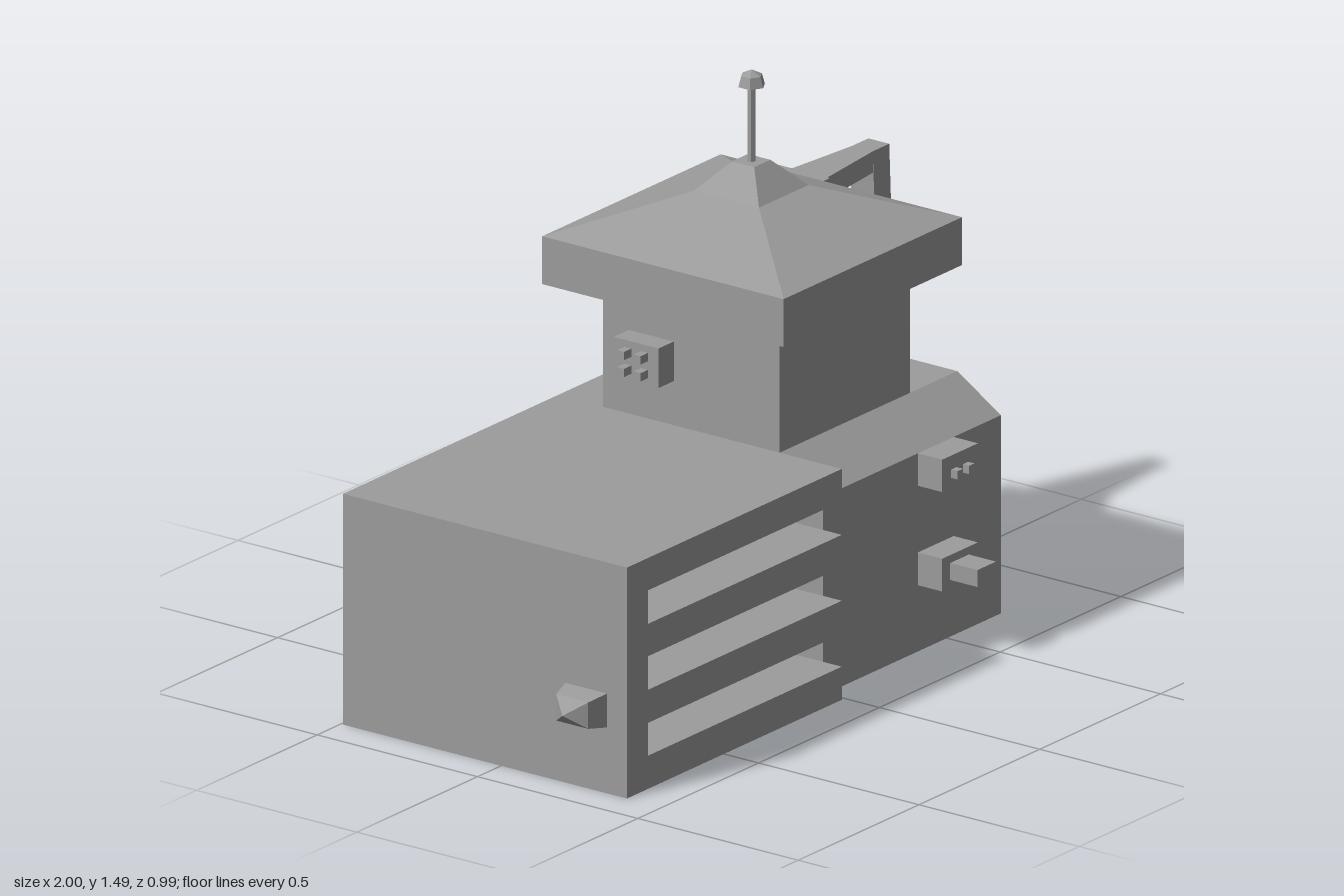
import * as THREE from 'three';

const material = new THREE.MeshStandardMaterial({ color: 0x9c9c9c, flatShading: true });

function add(parent, name, geometry) {
  const mesh = new THREE.Mesh(geometry, material);
  mesh.name = name;
  parent.add(mesh);
  return mesh;
}

// Box given by its extents on each axis
function box(parent, name, [x0, x1], [y0, y1], [z0, z1]) {
  const g = new THREE.BoxGeometry(x1 - x0, y1 - y0, z1 - z0);
  g.translate((x0 + x1) / 2, (y0 + y1) / 2, (z0 + z1) / 2);
  return add(parent, name, g);
}

// Box whose cross-section changes along an axis ('x' or 'y').
// Each end is [position, [min, max] of other axis, [min, max] of z].
function taper(parent, name, axis, low, high) {
  const g = new THREE.BoxGeometry(1, 1, 1);
  const p = g.attributes.position;
  for (let i = 0; i < p.count; i++) {
    const along = axis === 'x' ? p.getX(i) : p.getY(i);
    const across = axis === 'x' ? p.getY(i) : p.getX(i);
    const end = along < 0 ? low : high;
    const a = end[1][across < 0 ? 0 : 1];
    const z = end[2][p.getZ(i) < 0 ? 0 : 1];
    if (axis === 'x') p.setXYZ(i, end[0], a, z);
    else p.setXYZ(i, a, end[0], z);
  }
  g.computeVertexNormals();
  return add(parent, name, g);
}

function polygon(points) {
  return new THREE.Shape(points.map(([x, y]) => new THREE.Vector2(x, y)));
}

function createHousing() {
  const g = new THREE.Group();
  g.name = 'housing';

  // Long block with three horizontal slots open at the inner end
  const slotDepth = 0.15, frontZ = 0.392, endX = -0.012, top = 0.613;
  box(g, 'longBlock', [-0.902, endX], [0, top], [-0.493, frontZ - slotDepth]);
  const comb = [[-0.902, 0], [endX, 0]];
  for (const [y0, y1] of [[0.088, 0.175], [0.263, 0.352], [0.438, 0.527]]) {
    comb.push([endX, y0], [-0.815, y0], [-0.815, y1], [endX, y1]);
  }
  comb.push([endX, top], [-0.902, top]);
  const grille = new THREE.ExtrudeGeometry(polygon(comb), { depth: slotDepth, bevelEnabled: false });
  grille.translate(0, 0, frontZ - slotDepth);
  add(g, 'slottedFront', grille);

  // Control block with a chamfered upper front edge
  const profile = polygon([[-0.334, 0], [0.493, 0], [0.493, top], [-0.198, top], [-0.334, 0.526]]);
  const block = new THREE.ExtrudeGeometry(profile, { depth: 0.736, bevelEnabled: false });
  block.rotateY(Math.PI / 2);
  block.translate(endX, 0, 0);
  add(g, 'controlBlock', block);
  box(g, 'sidePanel', [0.724, 0.8], [0.088, 0.526], [-0.352, 0.198]);

  // Pointed nozzle on the end
  taper(g, 'nozzleBase', 'x', [-0.96, [0.185, 0.255], [0.215, 0.315]], [-0.902, [0.175, 0.265], [0.2, 0.33]]);
  taper(g, 'nozzleTip', 'x', [-1, [0.22, 0.22], [0.265, 0.265]], [-0.96, [0.185, 0.255], [0.215, 0.315]]);
  return g;
}

function createControls() {
  const g = new THREE.Group();
  g.name = 'controls';
  box(g, 'buttonBox', [0.38, 0.528], [0.44, 0.526], [0.334, 0.41]);
  for (const x of [0.428, 0.476]) {
    box(g, 'button', [x - 0.011, x + 0.011], [0.467, 0.489], [0.41, 0.43]);
  }
  box(g, 'leverBox', [0.38, 0.528], [0.176, 0.263], [0.334, 0.41]);
  box(g, 'lever', [0.413, 0.49], [0.197, 0.242], [0.41, 0.495]);
  return g;
}

function createTower() {
  const g = new THREE.Group();
  g.name = 'tower';
  box(g, 'towerWall', [-0.012, 0.527], [0.613, 0.95], [-0.352, 0.198]);

  // Socket box with four pegs
  box(g, 'socketBox', [-0.075, -0.012], [0.73, 0.835], [-0.272, -0.132]);
  for (const y of [0.76, 0.805]) {
    for (const z of [-0.228, -0.176]) {
      box(g, 'peg', [-0.105, -0.075], [y - 0.011, y + 0.011], [z - 0.011, z + 0.011]);
    }
  }

  // Roof slab, shallow slope, steeper cap
  const eaves = [1.077, [-0.128, 0.611], [-0.455, 0.298]];
  const neck = [1.172, [0.155, 0.36], [-0.195, 0.008]];
  box(g, 'roofSlab', [-0.128, 0.611], [0.95, 1.077], [-0.455, 0.298]);
  taper(g, 'roofSlope', 'y', eaves, neck);
  taper(g, 'roofCap', 'y', neck, [1.245, [0.223, 0.29], [-0.128, -0.058]]);

  // Mast with a faceted knob
  const mast = new THREE.CylinderGeometry(0.011, 0.011, 0.21, 6);
  add(g, 'mast', mast).position.set(0.257, 1.345, -0.092);
  const knob = [[0, 0], [0.036, 0], [0.028, 0.028], [0, 0.042]];
  const lathe = new THREE.LatheGeometry(knob.map(([x, y]) => new THREE.Vector2(x, y)), 6);
  add(g, 'mastKnob', lathe).position.set(0.257, 1.445, -0.092);
  return g;
}

function createArm() {
  const g = new THREE.Group();
  g.name = 'arm';
  const wide = [-0.312, -0.196], narrow = [-0.287, -0.222];
  box(g, 'upperMount', [0.611, 0.685], [0.973, 1.055], [-0.34, -0.17]);
  taper(g, 'upperArm', 'x', [0.685, [0.985, 1.042], wide], [0.932, [0.985, 1.042], narrow]);
  taper(g, 'uprightArm', 'y', [0.305, [0.932, 1], wide], [1.042, [0.932, 1], narrow]);
  box(g, 'lowerArm', [0.83, 0.932], [0.305, 0.392], wide);
  box(g, 'lowerMount', [0.8, 0.83], [0.265, 0.44], [-0.353, -0.145]);
  return g;
}

export function createModel() {
  const model = new THREE.Group();
  model.name = 'machine';
  model.add(createHousing(), createControls(), createTower(), createArm());
  return model;
}
